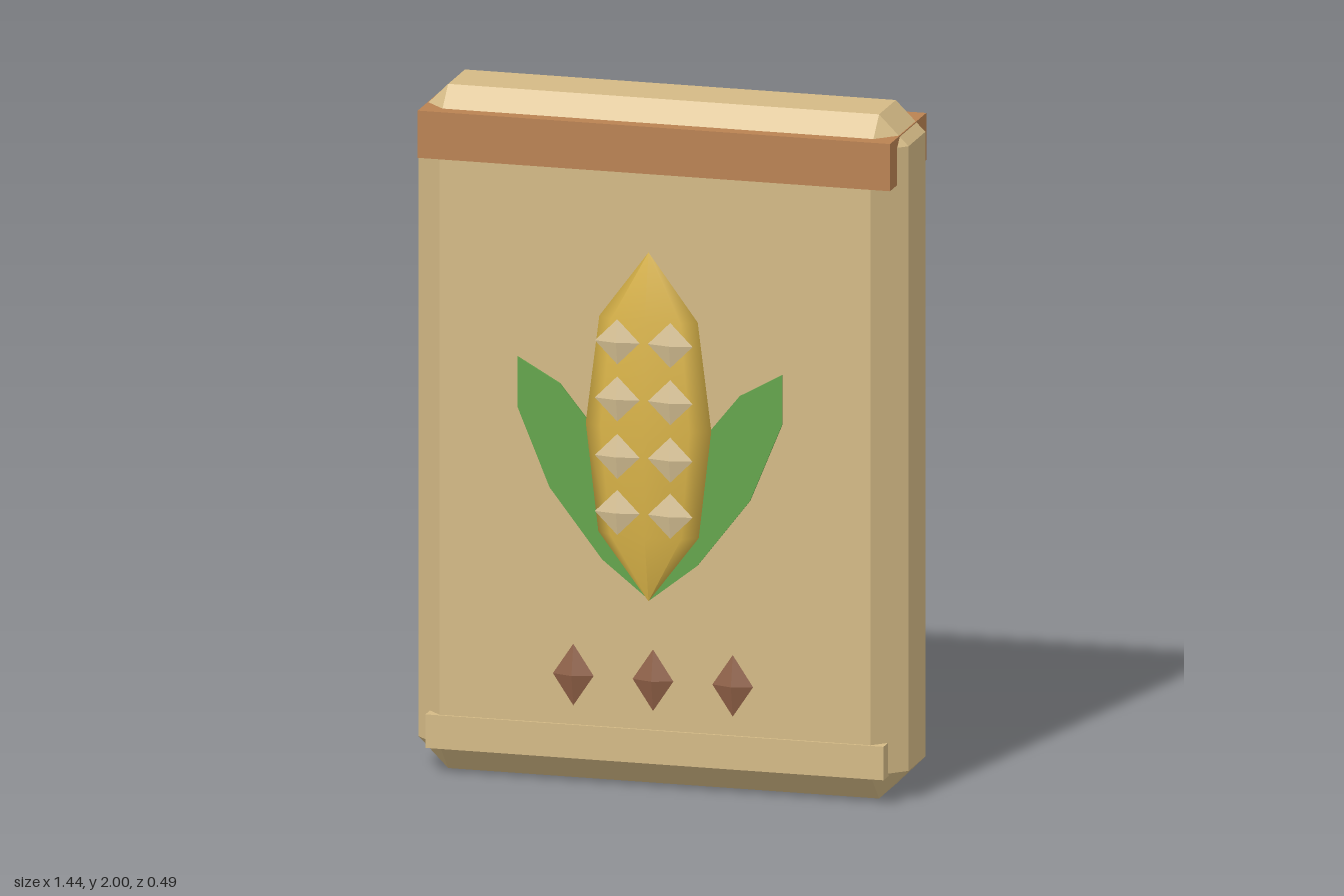
import * as THREE from 'three';
import { ConvexGeometry } from 'three/addons/geometries/ConvexGeometry.js';

const CENTER_Z = -0.06; // middle of the sack's depth

function material(name, color, options = {}) {
  const m = new THREE.MeshStandardMaterial({ color, ...options });
  m.name = name;
  return m;
}

// Box with every edge and corner cut at 45 degrees
function chamferedBox(hx, hy, hz, c) {
  const points = [];
  for (const sx of [-1, 1]) for (const sy of [-1, 1]) for (const sz of [-1, 1]) {
    points.push(
      new THREE.Vector3(sx * hx, sy * (hy - c), sz * (hz - c)),
      new THREE.Vector3(sx * (hx - c), sy * hy, sz * (hz - c)),
      new THREE.Vector3(sx * (hx - c), sy * (hy - c), sz * hz),
    );
  }
  return new ConvexGeometry(points);
}

export function createModel() {
  const group = new THREE.Group();
  group.name = 'grainSack';

  const cloth = material('tan cloth', 0xd4ba86);
  const binding = material('brown binding', 0xba8252);
  const yellow = material('corn yellow', 0xdab448);
  const cream = material('kernel cream', 0xd8c294);
  const green = material('leaf green', 0x64a54b, { side: THREE.DoubleSide });
  const brown = material('seed brown', 0x8f6046);

  function add(name, geometry, mat, x, y, z) {
    const mesh = new THREE.Mesh(geometry, mat);
    mesh.name = name;
    mesh.position.set(x, y, z);
    group.add(mesh);
    return mesh;
  }

  // Sack body with its top binding and bottom hem
  add('sackBody', chamferedBox(0.722, 1, 0.173, 0.087), cloth, 0, 1, CENTER_Z);
  add('topBinding', new THREE.BoxGeometry(1.392, 0.138, 0.372), binding, 0, 1.873, CENTER_Z);
  add('bottomHem', new THREE.BoxGeometry(1.35, 0.098, 0.36), cloth, 0, 0.128, CENTER_Z);

  // Corn cob: a flattened eight-sided spindle
  const cobProfile = [[0, -0.51], [0.148, -0.315], [0.185, 0], [0.145, 0.315], [0, 0.51]]
    .map(([r, y]) => new THREE.Vector2(r, y));
  add('cornCob', new THREE.LatheGeometry(cobProfile, 8), yellow, 0, 1.08, 0.181)
    .scale.z = 0.28;

  // Kernels in two columns
  const kernel = new THREE.OctahedronGeometry(1).scale(0.066, 0.066, 0.014);
  for (const y of [1.335, 1.168, 1.0, 0.836])
    for (const x of [-0.078, 0.078]) add('kernel', kernel, cream, x, y, 0.23);

  // Mirrored husk leaves
  for (const s of [-1, 1]) {
    const outline = [[0, 0.57], [0.14, 0.68], [0.295, 0.88], [0.39, 1.11],
      [0.39, 1.255], [0.265, 1.185], [0.18, 1.08], [0.06, 0.8]]
      .map(([x, y]) => new THREE.Vector2(s * x, y));
    const leaf = new THREE.ExtrudeGeometry(new THREE.Shape(outline), { depth: 0.007, bevelEnabled: false });
    add(s > 0 ? 'leftLeaf' : 'rightLeaf', leaf, green, 0, 0, 0.163);
  }

  // Row of seeds below the cob
  const seed = new THREE.OctahedronGeometry(1).scale(0.06, 0.09, 0.019);
  seed.computeVertexNormals();
  for (const x of [-0.235, 0, 0.235]) add('seed', seed, brown, x, 0.328, 0.135);

  return group;
}
